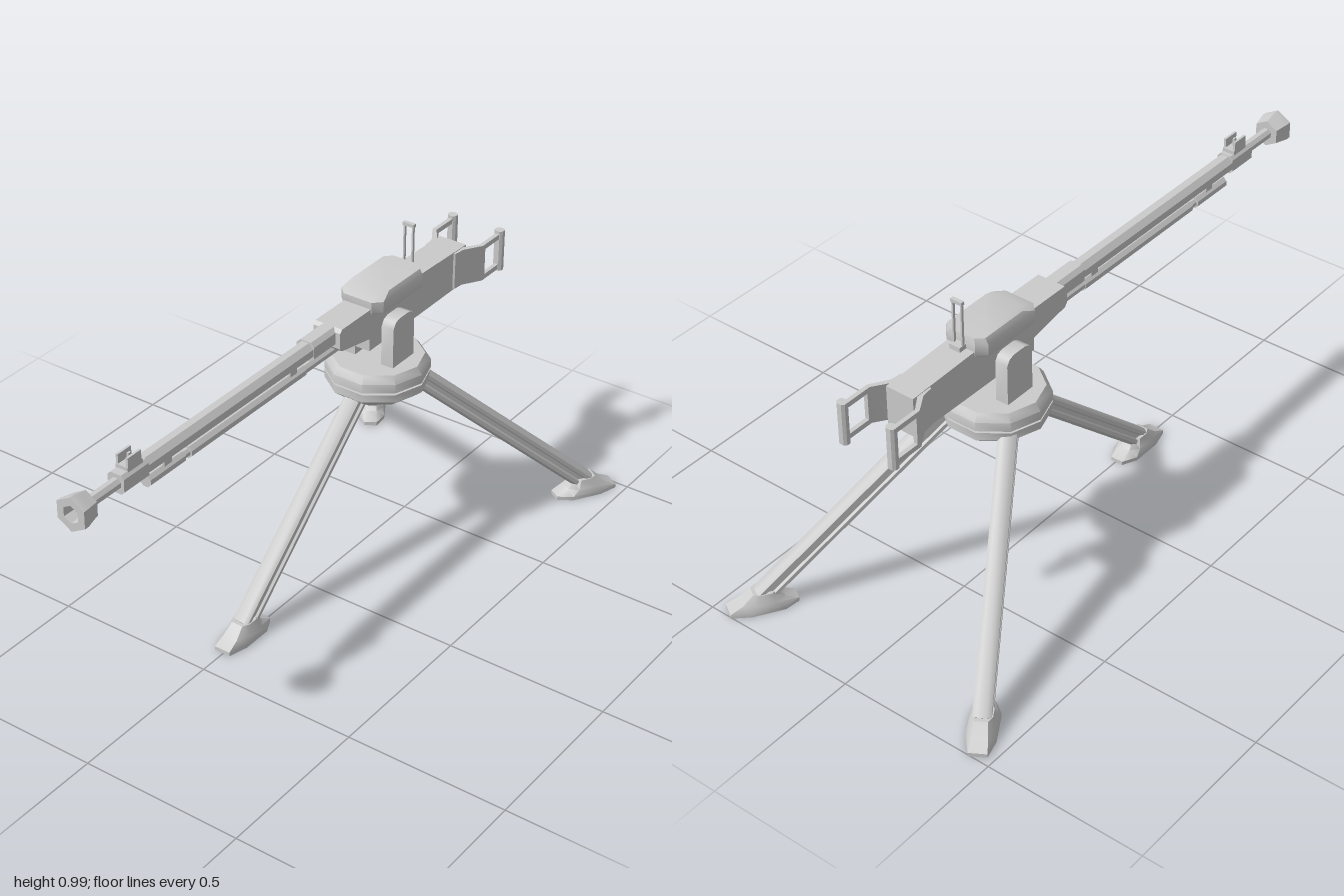
import * as THREE from 'three';
import { toCreasedNormals } from 'three/addons/utils/BufferGeometryUtils.js';

const material = new THREE.MeshStandardMaterial({ color: 0xcccccc });
const AXIS_Y = 0.805; // barrel height
const HUB_Z = -0.345; // swivel centre

function add(parent, name, geometry, x = 0, y = 0, z = 0) {
  const mesh = new THREE.Mesh(toCreasedNormals(geometry, 0.7), material);
  mesh.name = name;
  mesh.position.set(x, y, z);
  parent.add(mesh);
  return mesh;
}

const shapeOf = (points) => new THREE.Shape(points.map(([a, b]) => new THREE.Vector2(a, b)));
const extrude = (points, depth) =>
  new THREE.ExtrudeGeometry(shapeOf(points), { depth, bevelEnabled: false });

// Rectangle with cut corners
function cutRect(w, h, c) {
  const a = w / 2, b = h / 2;
  return [[-a + c, -b], [a - c, -b], [a, -b + c], [a, b - c],
    [a - c, b], [-a + c, b], [-a, b - c], [-a, -b + c]];
}

// Side profile of (z, y) points, given a width in x
const sidePlate = (points, width) =>
  extrude(points, width).translate(0, 0, -width / 2).rotateY(-Math.PI / 2);

// Plan profile of (x, z) points, filling y0 to y1
const planPlate = (points, y0, y1) =>
  extrude(points, y1 - y0).rotateX(Math.PI / 2).translate(0, y1, 0);

// Box given by its extents
function block(parent, name, x0, x1, y0, y1, z0, z1) {
  return add(parent, name, new THREE.BoxGeometry(x1 - x0, y1 - y0, z1 - z0),
    (x0 + x1) / 2, (y0 + y1) / 2, (z0 + z1) / 2);
}

// Round bar along z
function rod(parent, name, r, y, z0, z1) {
  const g = new THREE.CylinderGeometry(r, r, z1 - z0, 8);
  g.rotateY(Math.PI / 8).rotateX(Math.PI / 2);
  return add(parent, name, g, 0, y, (z0 + z1) / 2);
}

const lathe = (points, sides) =>
  new THREE.LatheGeometry(points.map(([r, y]) => new THREE.Vector2(r, y)), sides);

// Solid from one (x, z) ring, counterclockwise from above, scaled at each level
function loft(ring, levels) {
  const n = ring.length, pos = [], idx = [];
  for (const [y, sx, sz, dz] of levels) for (const [x, z] of ring) pos.push(x * sx, y, z * sz + dz);
  for (let l = 0; l < levels.length - 1; l++) {
    for (let i = 0; i < n; i++) {
      const a = l * n + i, b = l * n + (i + 1) % n;
      idx.push(a, b, a + n, b, b + n, a + n);
    }
  }
  const top = (levels.length - 1) * n;
  for (let i = 1; i < n - 1; i++) idx.push(0, i + 1, i, top, top + i, top + i + 1);
  const g = new THREE.BufferGeometry();
  g.setAttribute('position', new THREE.Float32BufferAttribute(pos, 3));
  g.setIndex(idx);
  return g;
}

function footGeometry() {
  const side = [[0.026, 0.1], [0.042, 0.04], [0.042, -0.055], [0.02, -0.1]];
  const ring = [...side, ...side.map(([x, z]) => [-x, z]).reverse()];
  return loft(ring, [[0, 1, 1, 0], [0.012, 1, 1, 0], [0.03, 0.9, 0.62, 0], [0.058, 0.7, 0.34, -0.005]]);
}

// Leg with cut corners and a shallow groove along each side
function makeLeg(name, x, z, yaw) {
  const leg = new THREE.Group();
  leg.name = name;
  const half = [[0.014, -0.03], [0.026, -0.021], [0.026, -0.01], [0.019, -0.006],
    [0.019, 0.006], [0.026, 0.01], [0.026, 0.021], [0.014, 0.03]];
  const section = [...half, ...half.map(([a, b]) => [-a, b]).reverse()];
  const low = new THREE.Vector3(0, 0.04, 0), high = new THREE.Vector3(0, 0.55, -0.575);
  const strut = add(leg, 'legStrut', extrude(section, low.distanceTo(high)), low.x, low.y, low.z);
  strut.lookAt(high);
  add(leg, 'foot', footGeometry());
  leg.position.set(x, 0, z);
  leg.rotation.y = yaw;
  return leg;
}

function makeTripod() {
  const tripod = new THREE.Group();
  tripod.name = 'tripod';
  tripod.add(makeLeg('frontLeg', 0, 0.31, 0));
  for (const s of [1, -1]) {
    tripod.add(makeLeg(s > 0 ? 'leftRearLeg' : 'rightRearLeg', s * 0.4, -0.905, s * (Math.PI - 0.55)));
  }

  // Two-part ten-sided swivel
  const lower = [[0, 0.525], [0.128, 0.525], [0.155, 0.547], [0.155, 0.572], [0, 0.572]];
  const upper = [[0, 0.578], [0.155, 0.578], [0.155, 0.606], [0.138, 0.628], [0, 0.628]];
  add(tripod, 'swivelBase', lathe(lower, 10).rotateY(Math.PI / 2), 0, 0, HUB_Z);
  add(tripod, 'swivelTop', lathe(upper, 10).rotateY(Math.PI / 2), 0, 0, HUB_Z);

  // Yoke cheeks either side of the receiver
  const cheek = [[-0.4, 0.62], [-0.295, 0.62], [-0.295, 0.755], [-0.305, 0.773],
    [-0.323, 0.78], [-0.372, 0.78], [-0.39, 0.773], [-0.4, 0.755]];
  for (const s of [1, -1]) {
    add(tripod, s > 0 ? 'leftYoke' : 'rightYoke', sidePlate(cheek, 0.041), s * 0.0665, 0, 0);
  }
  return tripod;
}

function makeHandle(s) {
  const handle = new THREE.Group();
  handle.name = s > 0 ? 'leftHandle' : 'rightHandle';
  const side = (points) => points.map(([x, z]) => [s * x, z]);
  const plate = [[0.04, -0.66], [0.052, -0.665], [0.056, -0.7], [0.09, -0.755],
    [0.09, -0.768], [0.077, -0.768], [0.077, -0.758], [0.044, -0.71]];
  const bar = [[0.077, -0.765], [0.09, -0.765], [0.09, -0.86], [0.077, -0.86]];
  add(handle, 'handlePlate', planPlate(side(plate), 0.71, 0.827));
  add(handle, 'lowerBar', planPlate(side(bar), 0.71, 0.726));
  add(handle, 'upperBar', planPlate(side(bar), 0.811, 0.827));
  add(handle, 'grip', planPlate(cutRect(0.029, 0.026, 0.007), 0.704, 0.836), s * 0.0835, 0, -0.856);
  return handle;
}

function makeUpper() {
  const upper = new THREE.Group();
  upper.name = 'upperAssembly';

  // Receiver and its lid
  const body = [[-0.73, 0.705], [-0.235, 0.7], [-0.235, 0.74], [-0.1, 0.765], [-0.09, 0.775],
    [-0.09, 0.825], [-0.1, 0.835], [-0.5, 0.835], [-0.73, 0.828]];
  add(upper, 'receiver', sidePlate(body, 0.092));
  const lid = cutRect(0.146, 0.245, 0.025).reverse();
  add(upper, 'topCover',
    loft(lid, [[0.817, 0.97, 0.98, 0], [0.825, 1, 1, 0], [0.857, 1, 1, 0], [0.874, 0.87, 0.8, -0.02]]),
    0, 0, -0.361);
  add(upper, 'barrelCollar', extrude(cutRect(0.06, 0.06, 0.012), 0.11), 0, AXIS_Y, -0.1);

  // Barrel, muzzle and front sight
  rod(upper, 'barrel', 0.029, AXIS_Y, -0.02, 0.76);
  rod(upper, 'barrelTip', 0.018, AXIS_Y, 0.75, 0.955);
  const muzzle = [[0, 0], [0.042, 0], [0.046, 0.02], [0.052, 0.045], [0.052, 0.06],
    [0.027, 0.06], [0.022, 0.02], [0, 0.02]];
  add(upper, 'muzzle', lathe(muzzle, 6).rotateX(Math.PI / 2), 0, AXIS_Y, 0.94);
  add(upper, 'sightBlock', extrude(cutRect(0.054, 0.058, 0.01), 0.1), 0, AXIS_Y, 0.725);
  block(upper, 'sightBase', -0.02, 0.02, 0.83, 0.845, 0.74, 0.8);
  for (const s of [1, -1]) {
    block(upper, 'sightEar', s * 0.0165 - 0.0035, s * 0.0165 + 0.0035, 0.84, 0.873, 0.745, 0.798);
  }
  block(upper, 'sightPost', -0.003, 0.003, 0.84, 0.87, 0.765, 0.775);

  // Lower tube with its clips
  rod(upper, 'tubeRear', 0.016, 0.75, -0.24, 0.04);
  rod(upper, 'tubeMiddle', 0.0195, 0.75, 0.03, 0.54);
  rod(upper, 'tubeNeck', 0.014, 0.75, 0.53, 0.575);
  rod(upper, 'tubeFront', 0.0195, 0.75, 0.565, 0.71);
  for (const z of [0.08, 0.63]) {
    block(upper, 'tubeClip', -0.012, 0.012, 0.755, 0.79, z - 0.015, z + 0.015);
  }

  // Raised rear sight
  block(upper, 'rearSightBase', -0.018, 0.018, 0.83, 0.85, -0.51, -0.475);
  for (const s of [1, -1]) {
    block(upper, 'rearSightPost', s * 0.0145 - 0.0025, s * 0.0145 + 0.0025, 0.84, 0.982, -0.497, -0.489);
  }
  block(upper, 'rearSightCap', -0.019, 0.019, 0.978, 0.988, -0.499, -0.487);

  for (const s of [1, -1]) upper.add(makeHandle(s));
  return upper;
}

export function createModel() {
  const model = new THREE.Group();
  model.name = 'tripodMount';
  const centre = new THREE.Group();
  centre.name = 'assembly';
  centre.add(makeTripod(), makeUpper());
  centre.position.x = -0.004;
  model.add(centre);
  return model;
}
